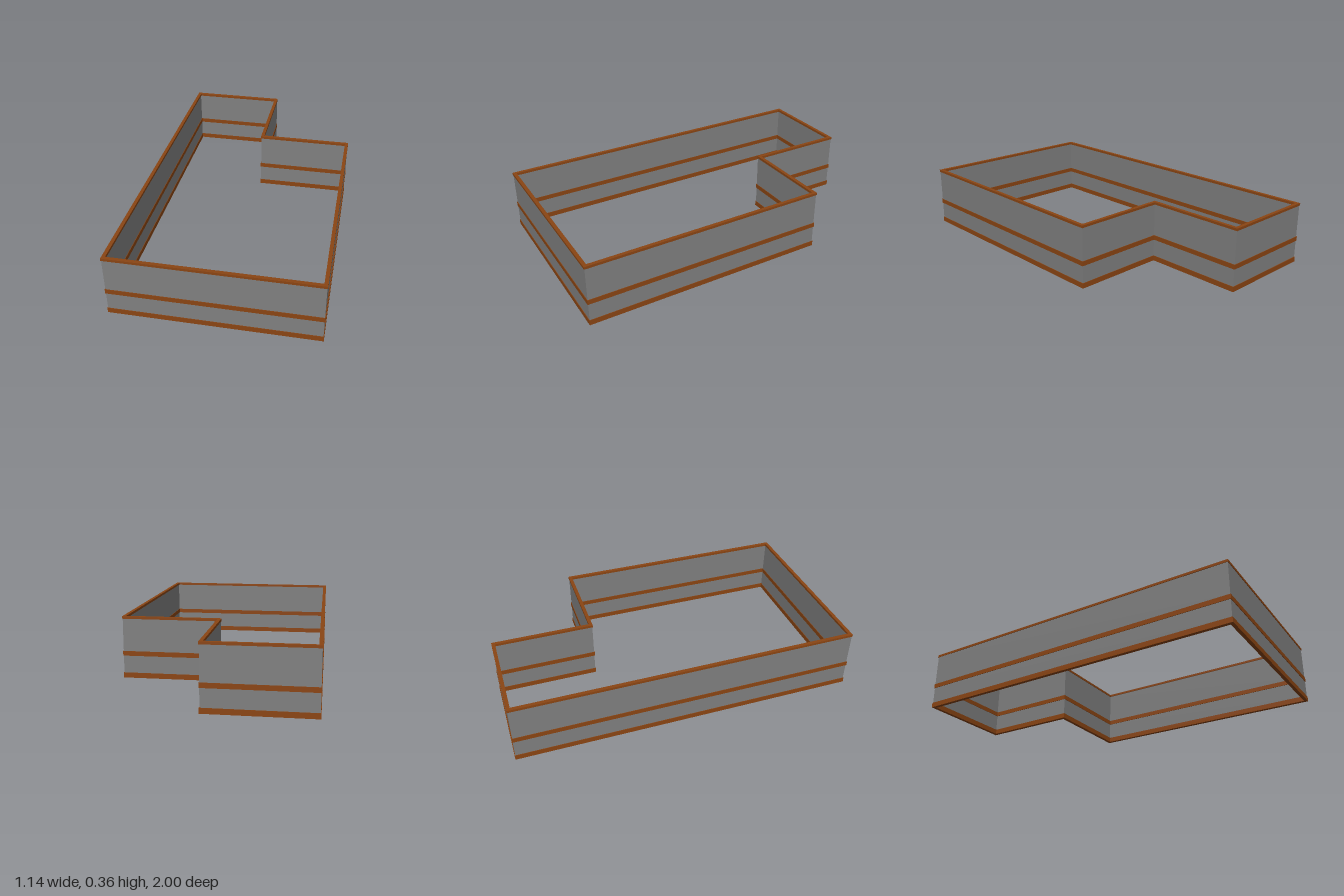
import * as THREE from 'three';

// Corners of the L-shaped centre line, as (x, -z), offset outwards by d
function outline(d) {
  const x = 0.559 + d, z = 0.99 + d, nx = 0.01 + d, nz = 0.418 + d;
  return [[-x, -z], [x, -z], [x, nz], [nx, nz], [nx, z], [-x, z]]
    .map(([a, b]) => new THREE.Vector2(a, b));
}

// Closed band following the outline, between two heights
function band(name, halfWidth, y0, y1, material) {
  const shape = new THREE.Shape(outline(halfWidth));
  shape.holes.push(new THREE.Path(outline(-halfWidth)));
  const geometry = new THREE.ExtrudeGeometry(shape, { depth: y1 - y0, bevelEnabled: false });
  geometry.rotateX(-Math.PI / 2).translate(0, y0, 0);
  const mesh = new THREE.Mesh(geometry, material);
  mesh.name = name;
  return mesh;
}

export function createModel() {
  const grey = new THREE.MeshStandardMaterial({ color: 0x808080 });
  grey.name = 'wall grey';
  const brown = new THREE.MeshStandardMaterial({ color: 0x8b4513 });
  brown.name = 'rail brown';

  const model = new THREE.Group();
  model.name = 'walledEnclosure';

  // Wall panels between the rails
  model.add(band('lowerWall', 0.007, 0.03, 0.13, grey));
  model.add(band('upperWall', 0.007, 0.157, 0.345, grey));

  // Slightly wider rails
  model.add(band('baseRail', 0.01, 0, 0.03, brown));
  model.add(band('middleRail', 0.01, 0.13, 0.157, brown));
  model.add(band('topRail', 0.01, 0.345, 0.359, brown));
  return model;
}
